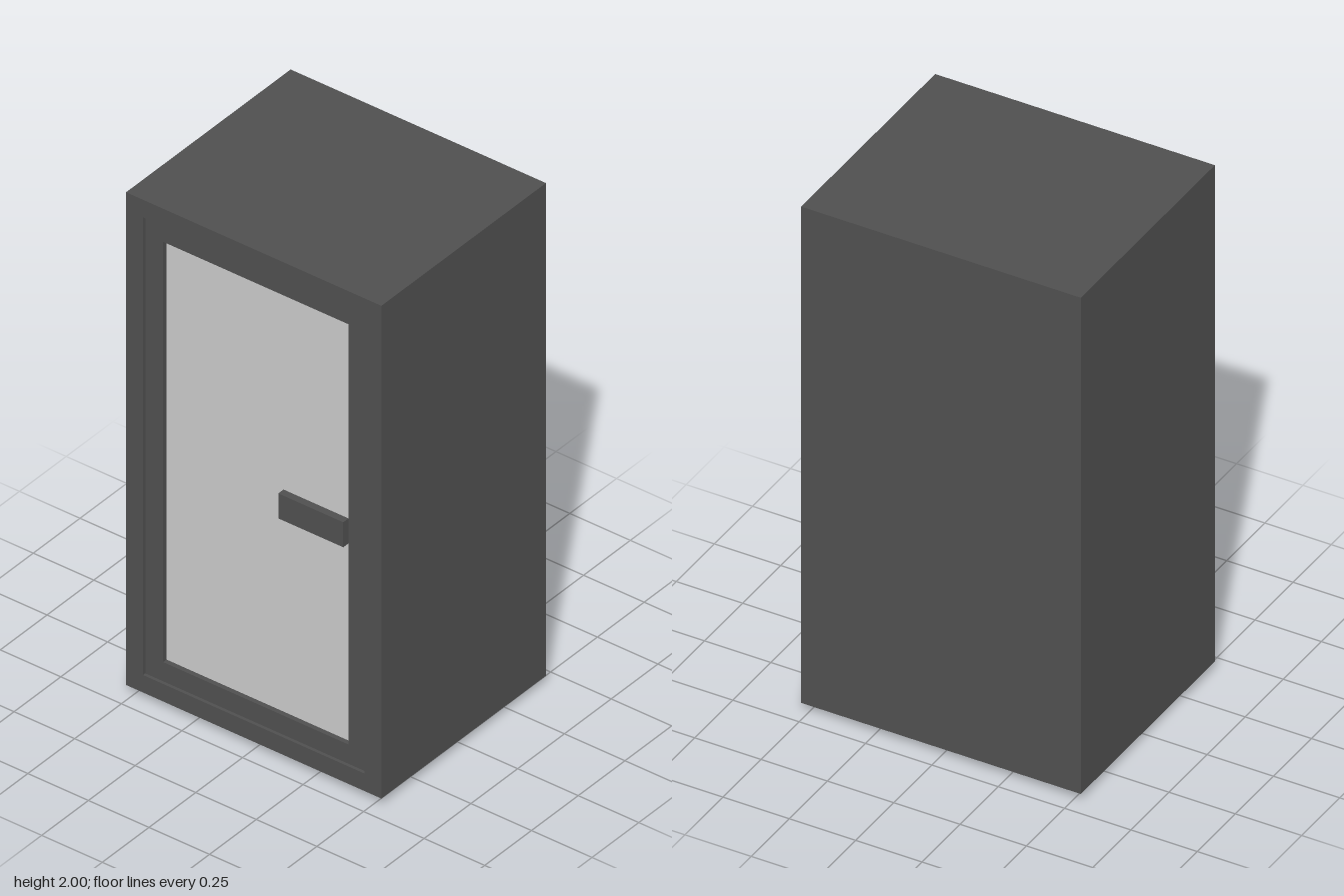
import * as THREE from 'three';

const W = 1.054, BOTTOM = 0.03, TOP = 2, FRONT = 0.44, BACK = -0.44;

// rectangular ring in x/y, extruded from z0 to z1
function ring(outer, inner, z0, z1) {
  const corners = ([hw, y0, y1]) => [[-hw, y0], [hw, y0], [hw, y1], [-hw, y1]].map(p => new THREE.Vector2(...p));
  const shape = new THREE.Shape(corners(outer));
  shape.holes.push(new THREE.Path(corners(inner).reverse()));
  return new THREE.ExtrudeGeometry(shape, { depth: z1 - z0, bevelEnabled: false }).translate(0, 0, z0);
}

// box given by its limits
function block(x0, x1, y0, y1, z0, z1) {
  return new THREE.BoxGeometry(x1 - x0, y1 - y0, z1 - z0)
    .translate((x0 + x1) / 2, (y0 + y1) / 2, (z0 + z1) / 2);
}

export function createModel() {
  const group = new THREE.Group();
  const charcoal = new THREE.MeshStandardMaterial({ color: 0x505050 });
  charcoal.name = 'charcoal';
  const paleGlass = new THREE.MeshStandardMaterial({ color: 0xcccccc });
  paleGlass.name = 'paleGlass';

  const add = (name, geometry, material = charcoal) => {
    const mesh = new THREE.Mesh(geometry, material);
    mesh.name = name;
    group.add(mesh);
  };

  const caseEdge = [W / 2, BOTTOM, TOP];
  const doorEdge = [0.457, 0.1, 1.93];
  const glassEdge = [0.383, 0.177, 1.857];

  // cabinet shell, open at the front, with a back panel
  add('cabinetShell', ring(caseEdge, doorEdge, BACK, FRONT));
  add('backPanel', block(-0.457, 0.457, 0.1, 1.93, BACK, BACK + 0.04));

  // slightly recessed door frame with an inset pane
  add('doorFrame', ring(doorEdge, glassEdge, 0.37, 0.428));
  add('doorGlass', block(-0.383, 0.383, 0.177, 1.857, 0.38, 0.41), paleGlass);

  // flat handle plate on the pane
  add('doorHandle', block(0.1, 0.368, 0.965, 1.065, 0.41, 0.438));

  // four small feet
  for (const sx of [-1, 1]) {
    for (const sz of [-1, 1]) {
      const x = sx * 0.445, z = sz * 0.357;
      add('foot', block(x - 0.037, x + 0.037, 0, BOTTOM, z - 0.037, z + 0.037));
    }
  }
  return group;
}
